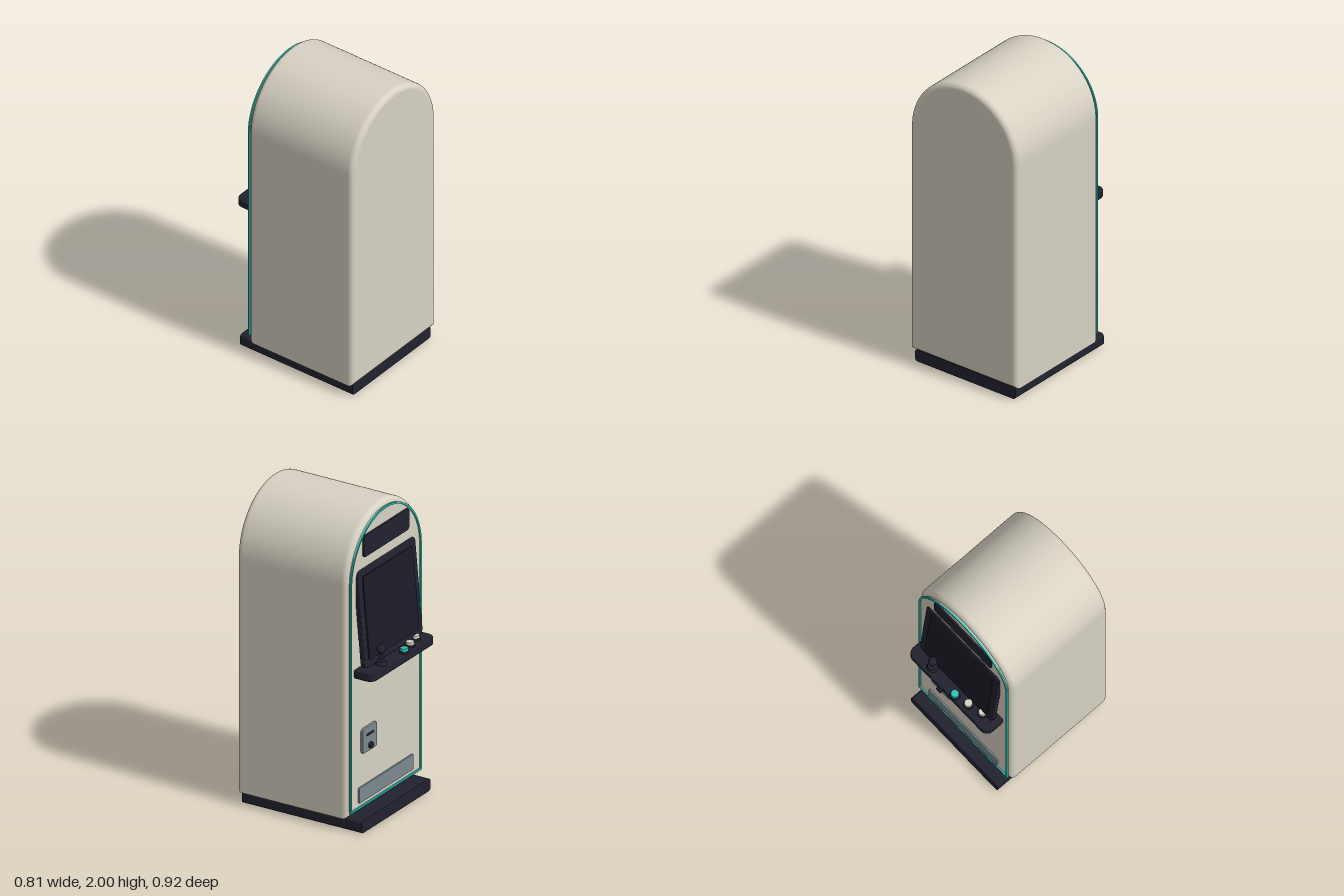
import * as THREE from 'three';

const mat = (name, color) => Object.assign(new THREE.MeshStandardMaterial({ color }), { name });

// Arched outline: flat foot, straight sides, semicircular top
function arch(half, bottom, top, Kind = THREE.Shape) {
  const s = new Kind();
  s.moveTo(-half, bottom);
  s.lineTo(half, bottom);
  s.lineTo(half, top - half);
  s.absarc(0, top - half, half, 0, Math.PI, false);
  s.closePath();
  return s;
}

function roundRect(w, h, r) {
  const s = new THREE.Shape(), x = w / 2, y = h / 2;
  s.moveTo(-x + r, -y);
  s.lineTo(x - r, -y);
  s.absarc(x - r, -y + r, r, -Math.PI / 2, 0, false);
  s.lineTo(x, y - r);
  s.absarc(x - r, y - r, r, 0, Math.PI / 2, false);
  s.lineTo(-x + r, y);
  s.absarc(-x + r, y - r, r, Math.PI / 2, Math.PI, false);
  s.lineTo(-x, -y + r);
  s.absarc(-x + r, -y + r, r, Math.PI, Math.PI * 1.5, false);
  return s;
}

const extrude = (shape, depth, bevel = 0) => new THREE.ExtrudeGeometry(shape, {
  depth: depth - 2 * bevel, curveSegments: 24, bevelEnabled: bevel > 0,
  bevelSize: bevel, bevelThickness: bevel, bevelOffset: -bevel, bevelSegments: 4,
}).translate(0, 0, bevel);

export function createModel() {
  const cream = mat('cream', 0xd8d2c4);
  const dark = mat('charcoal', 0x222230);
  const glass = mat('dark glass', 0x1b1b26);
  const teal = mat('teal', 0x2ec4b6);
  const slate = mat('slate', 0x7b898f);

  const model = new THREE.Group();
  model.name = 'arcadeCabinet';
  // Built with the controls toward local +z, then turned to face the back
  const cabinet = new THREE.Group();
  cabinet.name = 'cabinet';
  cabinet.rotation.y = Math.PI;
  model.add(cabinet);

  const add = (name, geometry, material, x, y, z, parent = cabinet) => {
    const m = new THREE.Mesh(geometry, material);
    m.name = name;
    m.position.set(x, y, z);
    parent.add(m);
    return m;
  };

  // Shell with soft front and back edges; smooth normals around the arch
  const bodyShape = new THREE.Shape(arch(0.405, 0.08, 2).getPoints(32));
  add('body', new THREE.ExtrudeGeometry(bodyShape, {
    depth: 0.705, bevelSize: 0.035, bevelThickness: 0.035, bevelOffset: -0.035, bevelSegments: 6,
  }), cream, 0, 0, -0.425);
  add('base', extrude(roundRect(0.76, 0.08, 0.02), 0.84), dark, 0, 0.04, -0.44);

  // Front panel and its trim line
  add('frontPanel', extrude(arch(0.38, 0.12, 1.965), 0.012), cream, 0, 0, 0.312);
  const trim = arch(0.39, 0.115, 1.97);
  trim.holes.push(arch(0.378, 0.127, 1.958, THREE.Path));
  add('trim', extrude(trim, 0.01), teal, 0, 0, 0.323);

  // Marquee
  add('marquee', extrude(roundRect(0.5, 0.14, 0.02), 0.014, 0.003), dark, 0, 1.795, 0.322);

  // Tilted screen
  const screen = new THREE.Group();
  screen.name = 'screen';
  screen.position.set(0, 1.345, 0.328);
  screen.rotation.x = -0.09;
  cabinet.add(screen);
  add('bezel', extrude(roundRect(0.64, 0.62, 0.035), 0.032, 0.006), dark, 0, 0, 0, screen);
  add('screenGlass', extrude(roundRect(0.55, 0.53, 0.02), 0.01, 0.003), glass, 0, 0, 0.03, screen);

  // Control shelf
  const shelf = add('controlShelf', extrude(roundRect(0.7, 0.16, 0.05), 0.05, 0.006), dark, 0, 0.98, 0.38);
  shelf.rotation.x = -Math.PI / 2;

  // Joystick
  const stick = new THREE.Group();
  stick.name = 'joystick';
  stick.position.set(-0.18, 1.03, 0.41);
  cabinet.add(stick);
  add('joystickBase', new THREE.CylinderGeometry(0.03, 0.037, 0.025, 24), dark, 0, 0.012, 0, stick);
  add('joystickShaft', new THREE.CylinderGeometry(0.009, 0.009, 0.08, 12), dark, 0, 0.05, 0, stick);
  add('joystickBall', new THREE.SphereGeometry(0.028, 24, 16), dark, 0, 0.097, 0, stick);

  // Buttons in a slanted row
  [[0.04, 0.432, teal], [0.137, 0.412, cream], [0.235, 0.387, cream]].forEach(([x, z, m]) => {
    add('buttonCollar', new THREE.CylinderGeometry(0.03, 0.032, 0.014, 24), dark, x, 1.036, z);
    add('button', new THREE.CylinderGeometry(0.024, 0.027, 0.026, 24), m, x, 1.046, z);
  });

  // Coin door with slot and return knob
  add('coinDoor', extrude(roundRect(0.16, 0.16, 0.018), 0.018, 0.004), slate, -0.19, 0.54, 0.322);
  add('coinSlot', extrude(roundRect(0.08, 0.014, 0.005), 0.006), dark, -0.19, 0.57, 0.337);
  const knob = add('coinReturn', new THREE.CylinderGeometry(0.02, 0.02, 0.018, 20), dark, -0.19, 0.495, 0.346);
  knob.rotation.x = Math.PI / 2;

  // Kick plate
  add('kickPlate', extrude(roundRect(0.6, 0.1, 0.01), 0.012, 0.002), slate, 0, 0.2, 0.322);

  return model;
}
